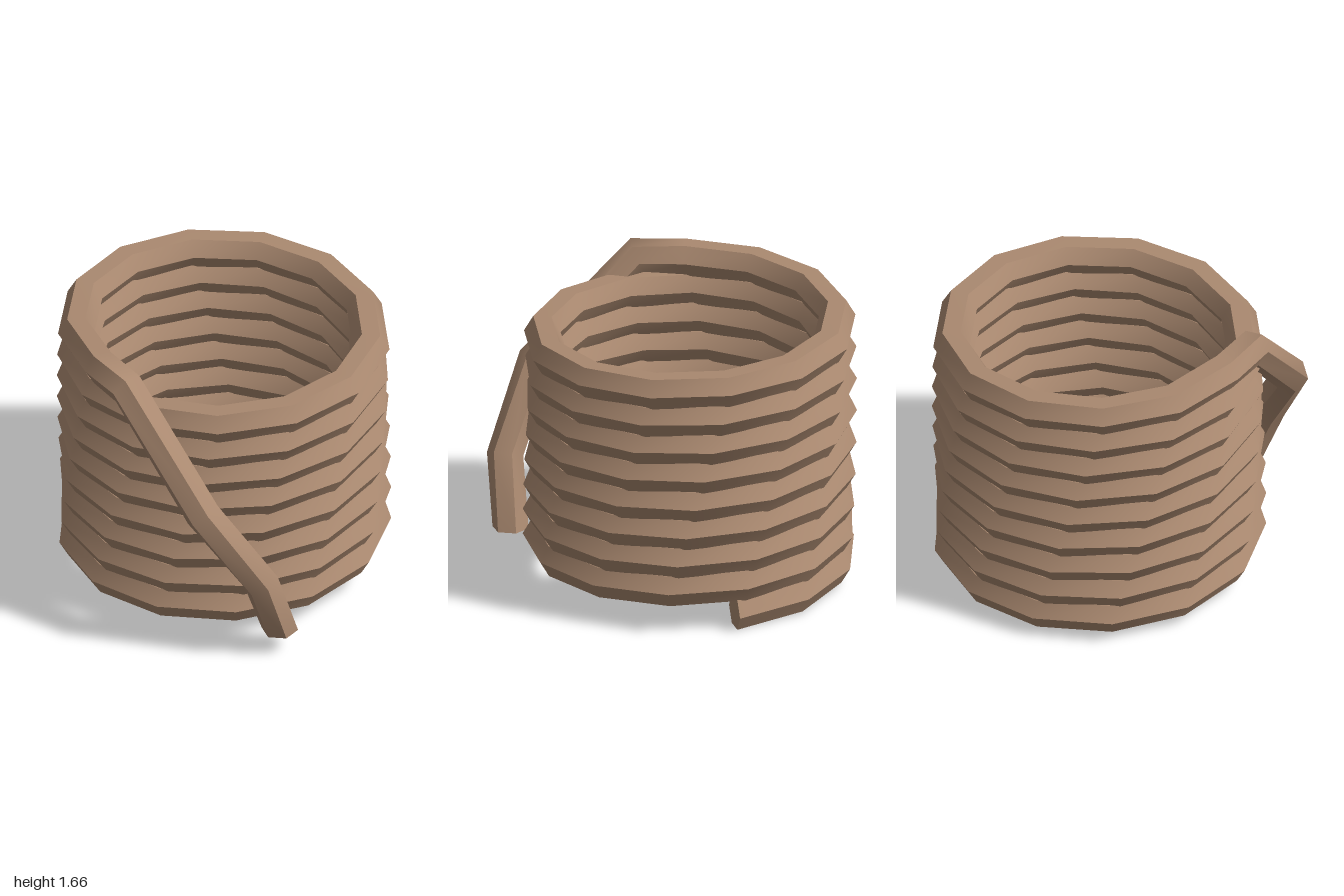
import * as THREE from 'three';

const SIDES = 6, ROPE = 0.105;      // hexagonal rope section
const RADIUS = 0.845, PITCH = 0.174, STEP = THREE.MathUtils.degToRad(27.93);
const CX = 0.05, CZ = -0.02, Y0 = 0.091;
const V = (x, y, z) => new THREE.Vector3(x, y, z);

// Rope centreline: each station has a position and a sideways direction
function ropeStations() {
  const stations = [];
  for (let i = 0; i <= 109; i++) {
    const a = i * STEP;
    stations.push({
      p: V(CX + RADIUS * Math.cos(a), Y0 + PITCH * a / (2 * Math.PI), CZ - RADIUS * Math.sin(a)),
      n: V(Math.cos(a), 0, -Math.sin(a)),
    });
  }
  // loose end hanging down the front
  const tail = [V(-0.85, 1.57, 0.01), V(-0.895, 0.98, 0.6), V(-0.68, 0.52, 0.85), V(-0.53, 0.13, 0.865)];
  for (const p of tail) stations.push({ p, n: V(-1, 0, 0) });

  const last = stations.length - 1;
  stations.forEach((s, i) => {
    const dir = (a, b) => stations[b].p.clone().sub(stations[a].p).normalize();
    if (i === 0) s.t = V(0, 0, -1);
    else if (i === last) s.t = V(0.05, -1, 0).normalize();
    else s.t = dir(i - 1, i).add(dir(i, i + 1)).normalize();
    s.n.addScaledVector(s.t, -s.n.dot(s.t)).normalize();
    s.b = s.t.clone().cross(s.n);
  });
  return stations;
}

function corner(s, j) {
  const a = j * 2 * Math.PI / SIDES;
  return s.p.clone()
    .addScaledVector(s.n, ROPE * Math.cos(a))
    .addScaledVector(s.b, ROPE * Math.sin(a));
}

function makeGeometry(points, index) {
  const g = new THREE.BufferGeometry().setFromPoints(points);
  g.setIndex(index);
  g.computeVertexNormals();
  return g;
}

// Each long face has its own vertices: smooth along the rope, sharp between faces
function ropeBody(stations) {
  const points = [], index = [];
  for (let j = 0; j < SIDES; j++) {
    stations.forEach((s, i) => {
      const a = points.length;
      points.push(corner(s, j), corner(s, j + 1));
      if (i < stations.length - 1) index.push(a, a + 1, a + 2, a + 1, a + 3, a + 2);
    });
  }
  return makeGeometry(points, index);
}

function ropeCap(s, facesForward) {
  const points = [], index = [];
  for (let j = 0; j < SIDES; j++) points.push(corner(s, j));
  for (let j = 1; j < SIDES - 1; j++) index.push(0, ...(facesForward ? [j, j + 1] : [j + 1, j]));
  return makeGeometry(points, index);
}

export function createModel() {
  const group = new THREE.Group();
  group.name = 'ropeCoil';
  const rope = new THREE.MeshStandardMaterial({ color: 0xaa8970 });
  rope.name = 'rope tan';
  const add = (name, geometry) => {
    const mesh = new THREE.Mesh(geometry, rope);
    mesh.name = name;
    group.add(mesh);
  };
  const stations = ropeStations();
  add('coiledRope', ropeBody(stations));
  add('bottomRopeEnd', ropeCap(stations[0], false));
  add('looseRopeEnd', ropeCap(stations[stations.length - 1], true));
  return group;
}
